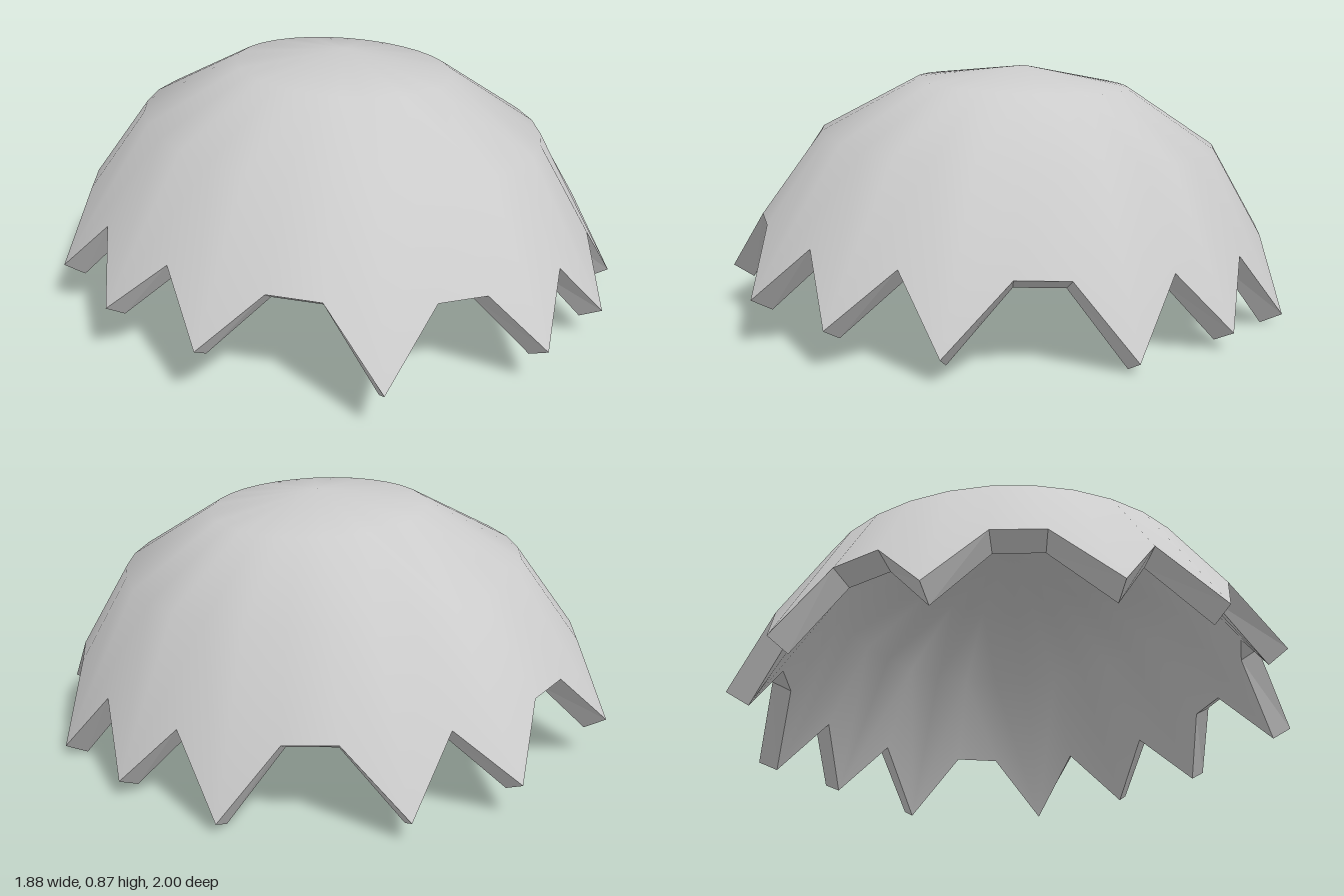
import * as THREE from 'three';

const SEG = 32;
const X_SCALE = 0.935;
// Rim columns that carry a tooth, with how much lower each tooth hangs
const TEETH = { 0: 0, 2: 0.03, 5: 0.02, 7: 0, 9: 0, 12: 0.04, 15: 0, 17: 0, 19: 0.02, 22: 0.015, 25: 0, 27: 0.02, 30: 0.03 };
// Rows of [radius, height] from the crown down to the rim notches
const OUTER = { pole: 0.87, rows: [[0.39, 0.81], [0.72, 0.62], [0.915, 0.33]], tip: [1.02, 0.135] };
const INNER = { pole: 0.795, rows: [[0.36, 0.74], [0.66, 0.57], [0.845, 0.29]], tip: [0.945, 0.095] };

function point(k, r, y) {
  const a = (k / SEG) * Math.PI * 2;
  return [X_SCALE * r * Math.cos(a), y, r * Math.sin(a)];
}

// Rim point of a column: a notch, or the tip of a tooth
function rimPoint(skin, k) {
  const drop = TEETH[k % SEG];
  if (drop === undefined) return point(k, ...skin.rows[2]);
  return point(k, skin.tip[0] + drop * 0.5, skin.tip[1] - drop);
}

// Smooth dome skin with a jagged last row
function domeGeometry(skin, inward) {
  const pos = [0, skin.pole, 0];
  const index = [];
  const tri = (a, b, c) => index.push(...(inward ? [a, c, b] : [a, b, c]));
  skin.rows.forEach((row, j) => {
    for (let k = 0; k < SEG; k++) pos.push(...(j === 2 ? rimPoint(skin, k) : point(k, ...row)));
  });
  const id = (j, k) => 1 + j * SEG + (k % SEG);
  for (let k = 0; k < SEG; k++) {
    tri(0, id(0, k + 1), id(0, k));
    for (let j = 0; j < 2; j++) {
      const a = id(j, k), b = id(j, k + 1), c = id(j + 1, k + 1), d = id(j + 1, k);
      // Diagonals run to the tooth tip so that notches stay crisp
      if (TEETH[k] !== undefined) { tri(a, b, d); tri(b, c, d); }
      else { tri(a, b, c); tri(a, c, d); }
    }
  }
  const g = new THREE.BufferGeometry();
  g.setAttribute('position', new THREE.Float32BufferAttribute(pos, 3));
  g.setIndex(index);
  g.computeVertexNormals();
  return g;
}

// Flat faces across the shell thickness
function rimGeometry() {
  const pos = [];
  for (let k = 0; k < SEG; k++) {
    const a = rimPoint(OUTER, k), b = rimPoint(OUTER, k + 1);
    const c = rimPoint(INNER, k + 1), d = rimPoint(INNER, k);
    pos.push(...a, ...b, ...c, ...a, ...c, ...d);
  }
  const g = new THREE.BufferGeometry();
  g.setAttribute('position', new THREE.Float32BufferAttribute(pos, 3));
  g.computeVertexNormals();
  return g;
}

export function createModel() {
  const group = new THREE.Group();
  group.name = 'brokenShell';
  const material = new THREE.MeshStandardMaterial({ color: 0xcccccc });
  const add = (name, geometry) => {
    const mesh = new THREE.Mesh(geometry, material);
    mesh.name = name;
    shell.add(mesh);
  };

  // Shell leans slightly to its left
  const shell = new THREE.Group();
  shell.name = 'tiltedShell';
  shell.rotation.z = -0.08;
  shell.position.x = -0.02;
  group.add(shell);

  add('outerDome', domeGeometry(OUTER, false));
  add('innerDome', domeGeometry(INNER, true));
  add('jaggedRim', rimGeometry());
  return group;
}
